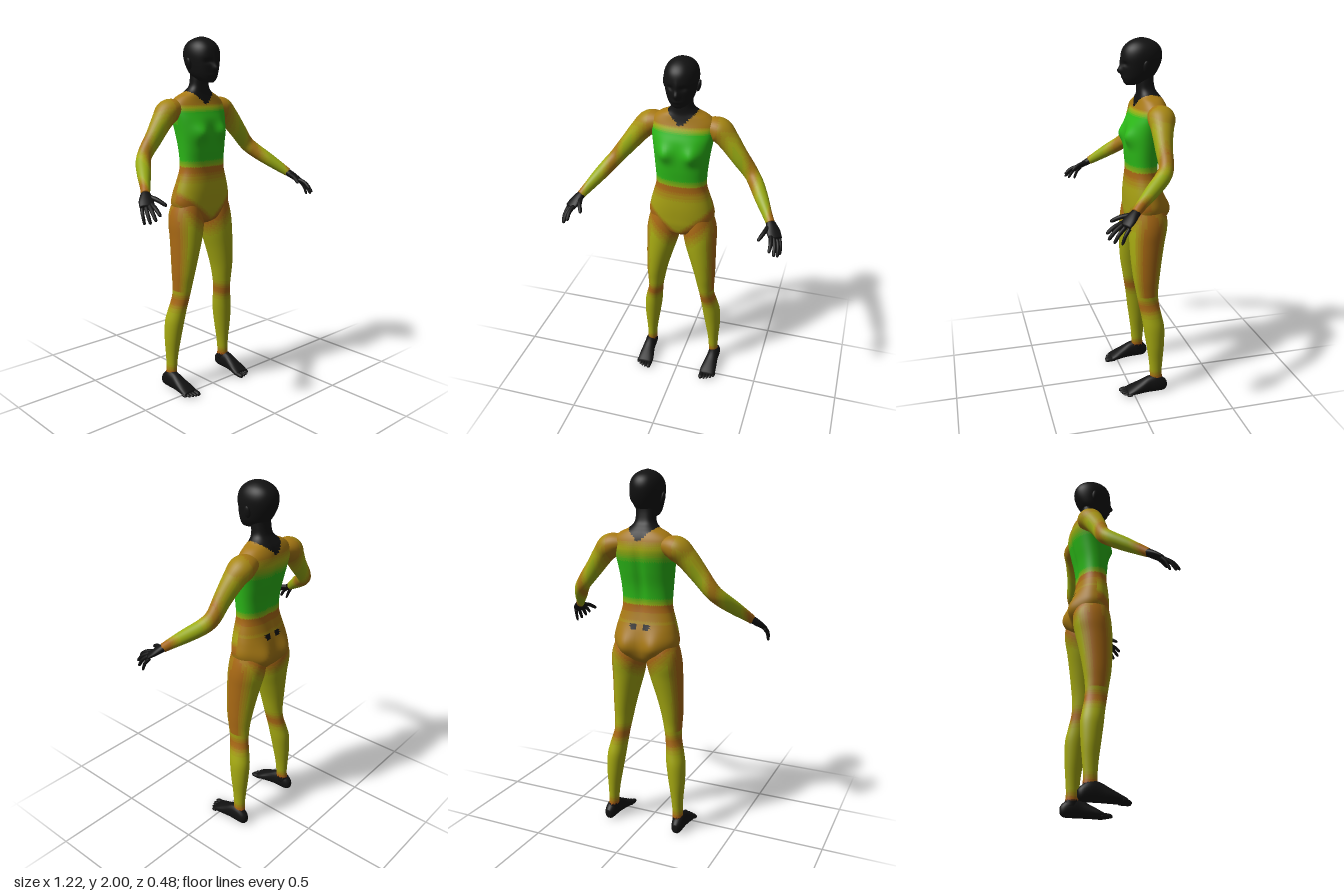
import * as THREE from 'three';

const V = (x, y, z) => new THREE.Vector3(x, y, z);
const clamp = THREE.MathUtils.clamp;
const ramp = (a, b, v) => clamp((v - a) / (b - a), 0, 1);
const bell = (dx, dy, rx, ry) => Math.exp(-((dx / rx) ** 2) - (dy / ry) ** 2);

// Shades: -1 is black, 0..1 runs orange, olive, green in steps
const STEPS = 12, BLACK = -1, palette = {};
const ORANGE = new THREE.Color(0xa95414), OLIVE = new THREE.Color(0xa6aa12), GREEN = new THREE.Color(0x2cba18);
function shade(k) {
  if (!palette[k]) {
    const t = k / STEPS;
    const c = k < 0 ? new THREE.Color(0x121212)
      : t < 0.5 ? ORANGE.clone().lerp(OLIVE, t * 2) : OLIVE.clone().lerp(GREEN, t * 2 - 1);
    palette[k] = new THREE.MeshStandardMaterial({ color: c });
  }
  return palette[k];
}

// Smooth in-between rows (Catmull-Rom on every column)
function refine(rows, n) {
  const out = [], last = rows.length - 1;
  for (let i = 0; i < last; i++) {
    const [p, a, b, q] = [rows[Math.max(i - 1, 0)], rows[i], rows[i + 1], rows[Math.min(i + 2, last)]];
    for (let s = 0; s < n; s++) {
      const t = s / n;
      out.push(a.map((_, k) => a[k] + 0.5 * t * (b[k] - p[k] + t * (2 * p[k] - 5 * a[k] + 4 * b[k] - q[k]
        + t * (3 * (a[k] - b[k]) + q[k] - p[k])))));
    }
  }
  out.push(rows[last]);
  return out;
}

// Closed skin over rows [x, y, z, halfA, halfB]; axis is 'y', 'z' or 'path'
function loft(name, rows, { axis = 'path', seg = 20, sub = 4, power = 2, side = 1, paint = () => BLACK, bump } = {}) {
  const R = refine(rows, sub), pts = [];
  const centre = R.map(r => V(r[0], r[1], r[2]));
  const add = p => { if (bump) bump(p); pts.push(p); };
  R.forEach((r, i) => {
    let u = V(1, 0, 0), v = axis === 'y' ? V(0, 0, -1) : V(0, 1, 0);
    if (axis === 'path') {
      const d = centre[Math.min(i + 1, R.length - 1)].clone().sub(centre[Math.max(i - 1, 0)]).normalize();
      u = V(d.z, 0, -d.x).normalize();
      v = d.clone().cross(u);
    }
    for (let j = 0; j < seg; j++) {
      const a = j / seg * Math.PI * 2, c = Math.cos(a), s = Math.sin(a);
      add(centre[i].clone()
        .addScaledVector(u, r[3] * Math.sign(c) * Math.abs(c) ** (2 / power))
        .addScaledVector(v, r[4] * Math.sign(s) * Math.abs(s) ** (2 / power)));
    }
  });
  const first = pts.length, end = (R.length - 1) * seg;
  pts.push(centre[0].clone(), centre[R.length - 1].clone());
  const tris = [];
  for (let j = 0; j < seg; j++) {
    const k = (j + 1) % seg;
    for (let i = 0; i < R.length - 1; i++) {
      const a = i * seg + j, b = i * seg + k;
      tris.push([a, b, a + seg], [b, b + seg, a + seg]);
    }
    tris.push([first, k, j], [first + 1, end + j, end + k]);
  }
  // Sort faces by shade, then share one set of smooth normals between them
  const buckets = {};
  for (const [a, b, c] of tris) {
    const m = V(0, 0, 0).add(pts[a]).add(pts[b]).add(pts[c]).divideScalar(3);
    const n = pts[b].clone().sub(pts[a]).cross(pts[c].clone().sub(pts[a])).normalize();
    const t = paint(m, n), key = t < 0 ? -1 : Math.round(clamp(t, 0, 1) * STEPS);
    (buckets[key] ??= []).push(...(side > 0 ? [a, b, c] : [a, c, b]));
  }
  const geo = new THREE.BufferGeometry().setFromPoints(pts.map(p => V(p.x * side, p.y, p.z)));
  geo.setIndex(Object.values(buckets).flat());
  geo.computeVertexNormals();
  const group = new THREE.Group();
  group.name = name;
  for (const key in buckets) {
    const g = new THREE.BufferGeometry();
    g.setAttribute('position', geo.attributes.position);
    g.setAttribute('normal', geo.attributes.normal);
    g.setIndex(buckets[key]);
    const mesh = new THREE.Mesh(g, shade(+key));
    mesh.name = name + 'Skin';
    group.add(mesh);
  }
  return group;
}

// Upright rows given as [y, centreX, halfWidth, front, back]
const upright = rows => rows.map(([y, x, w, f, b]) => [x, y, (f + b) / 2, w, (f - b) / 2]);

const TORSO = upright([
  [0.975, 0, 0.03, -0.05, -0.15], [1.0, 0, 0.10, -0.015, -0.19], [1.05, 0, 0.165, -0.002, -0.21],
  [1.1, 0, 0.187, 0, -0.213], [1.16, 0, 0.178, 0, -0.205], [1.22, 0, 0.161, -0.004, -0.19],
  [1.28, 0, 0.144, -0.01, -0.178], [1.33, 0, 0.142, -0.01, -0.177], [1.4, 0, 0.147, -0.004, -0.186],
  [1.48, 0, 0.156, -0.003, -0.205], [1.55, 0, 0.167, -0.012, -0.22], [1.6, 0, 0.175, -0.032, -0.226],
  [1.645, 0, 0.172, -0.052, -0.218], [1.68, 0, 0.135, -0.063, -0.203], [1.705, 0, 0.085, -0.068, -0.186],
  [1.735, 0, 0.058, -0.068, -0.166], [1.78, 0, 0.053, -0.066, -0.157], [1.82, 0, 0.053, -0.07, -0.155]]);
const HEAD = upright([
  [1.757, 0, 0.022, -0.008, -0.06], [1.77, 0, 0.045, 0.003, -0.1], [1.8, 0, 0.068, 0.01, -0.155],
  [1.85, 0, 0.083, 0.016, -0.188], [1.9, 0, 0.09, 0.019, -0.202], [1.94, 0, 0.084, 0.01, -0.197],
  [1.97, 0, 0.066, -0.014, -0.175], [1.99, 0, 0.038, -0.048, -0.138], [2.0, 0, 0.006, -0.085, -0.1]]);
const LEG = upright([
  [0.06, 0.206, 0.03, -0.1, -0.178], [0.12, 0.203, 0.028, -0.1, -0.17], [0.2, 0.2, 0.033, -0.094, -0.175],
  [0.3, 0.195, 0.045, -0.08, -0.183], [0.4, 0.186, 0.052, -0.065, -0.185], [0.47, 0.175, 0.049, -0.055, -0.173],
  [0.55, 0.16, 0.043, -0.04, -0.158], [0.62, 0.153, 0.05, -0.028, -0.156], [0.7, 0.146, 0.06, -0.014, -0.165],
  [0.8, 0.132, 0.074, -0.004, -0.18], [0.9, 0.116, 0.089, 0, -0.198], [0.98, 0.107, 0.097, -0.002, -0.214],
  [1.05, 0.102, 0.09, -0.01, -0.212], [1.13, 0.095, 0.068, -0.025, -0.18]]);
const ARM = [
  [0.12, 1.62, -0.145, 0.055, 0.045], [0.19, 1.605, -0.147, 0.072, 0.065], [0.245, 1.555, -0.137, 0.058, 0.058],
  [0.31, 1.475, -0.125, 0.045, 0.05], [0.375, 1.395, -0.118, 0.039, 0.043], [0.415, 1.35, -0.085, 0.04, 0.041],
  [0.46, 1.3, -0.02, 0.036, 0.037], [0.5, 1.255, 0.04, 0.027, 0.03], [0.53, 1.222, 0.083, 0.023, 0.024]];
const PALM = [
  [0.522, 1.23, 0.07, 0.02, 0.02], [0.538, 1.213, 0.095, 0.03, 0.02],
  [0.555, 1.193, 0.122, 0.038, 0.017], [0.572, 1.172, 0.148, 0.036, 0.012]];
const FOOT = [
  [0.212, 0.04, -0.198, 0.014, 0.02], [0.212, 0.042, -0.18, 0.028, 0.038], [0.211, 0.053, -0.14, 0.034, 0.052],
  [0.21, 0.05, -0.09, 0.035, 0.049], [0.208, 0.037, -0.04, 0.042, 0.036], [0.205, 0.025, 0.005, 0.048, 0.024],
  [0.204, 0.016, 0.04, 0.046, 0.013]];

// Breasts, buttocks and spine groove
function shapeTorso(p) {
  const x = Math.abs(p.x);
  if (p.z > -0.08) p.z += 0.027 * bell(x - 0.075, p.y - 1.49, 0.042, 0.045);
  else {
    p.z -= 0.034 * bell(x - 0.085, p.y - 1.075, 0.06, 0.075);
    p.z += 0.012 * bell(x, p.y - 1.45, 0.025, 0.2);
  }
}
// Nose, eye sockets and mouth
function shapeHead(p) {
  if (p.z < -0.05) return;
  p.z += 0.024 * bell(p.x, p.y - 1.832, 0.014, 0.02) + 0.007 * bell(p.x, p.y - 1.797, 0.026, 0.009)
    + 0.008 * bell(p.x, p.y - 1.87, 0.01, 0.03) - 0.012 * bell(Math.abs(p.x) - 0.034, p.y - 1.868, 0.018, 0.012);
}
function paintTorso(p) {
  const x = Math.abs(p.x), y = p.y, back = p.z < -0.1;
  if (x < (y - 1.635) * 1.1) return BLACK;
  if (back && Math.abs(y - 1.185) < 0.012 && Math.abs(x - 0.04) < 0.017) return BLACK;
  if (y > 1.3) return Math.min(ramp(1.24, 1.34, y), 1 - 0.8 * ramp(back ? 1.53 : 1.6, 1.64, y));
  if (y > 1.2) return 0.1 + 0.35 * ramp(1.27, 1.2, y) * (back ? 0.4 : 1);
  if (back) return 0.15;
  const groin = Math.abs((y - 1.0) - (x - 0.04) * 0.85);
  return 0.08 + 0.37 * ramp(0.02, 0.06, groin);
}
function paintLeg(p, n) {
  const y = p.y;
  if (y < 0.09) return BLACK;
  if (y < 0.6) return 0.5 * ramp(0.09, 0.15, y) * (1 - 0.9 * bell(0, y - 0.535, 1, 0.04));
  const stripe = ramp(0.55, 0.95, n.x) * 0.4;
  const top = 0.38 * ramp(0.93, 1.02, y - (p.x - 0.1) * 0.8);
  return 0.5 - Math.max(stripe, top);
}
function paintArm(p, n) {
  const elbow = bell(p.x - 0.39, 0, 0.035, 1), wrist = ramp(0.5, 0.53, p.x);
  const stripe = p.x < 0.38 ? 0.3 * ramp(0.3, 0.9, n.x) : 0;
  return (0.2 + 0.38 * ramp(0.19, 0.29, p.x) - stripe) * (1 - 0.75 * elbow) * (1 - wrist * 0.9);
}

export function createModel() {
  const model = new THREE.Group();
  model.name = 'figure';
  model.add(loft('torso', TORSO, { axis: 'y', seg: 72, sub: 6, power: 2.25, paint: paintTorso, bump: shapeTorso }));
  model.add(loft('head', HEAD, { axis: 'y', seg: 64, sub: 8, power: 2.1, bump: shapeHead }));

  for (const side of [1, -1]) {
    const s = side > 0 ? 'left' : 'right';
    const ear = new THREE.Mesh(new THREE.SphereGeometry(1, 16, 12), shade(BLACK));
    ear.name = s + 'Ear';
    ear.scale.set(0.011, 0.032, 0.018);
    ear.position.set(side * 0.089, 1.857, -0.095);
    ear.rotation.z = -side * 0.2;
    model.add(ear);

    model.add(loft(s + 'Leg', LEG, { axis: 'y', seg: 40, sub: 6, side, paint: paintLeg }));
    model.add(loft(s + 'Arm', ARM, { seg: 32, sub: 8, side, paint: paintArm }));
    model.add(loft(s + 'Foot', FOOT, { axis: 'z', seg: 24, side, power: 2.2 }));
    model.add(loft(s + 'Palm', PALM, { seg: 20, side }));

    // Toes, from big to small
    for (let i = 0; i < 5; i++) {
      const x = 0.172 + i * 0.018 + (i ? 0.003 : 0), r = i ? 0.0095 : 0.014, tip = 0.077 - i * i * 0.002;
      model.add(loft(s + 'Toe', [
        [x, 0.016, 0.015, r, r], [x, 0.013, tip - 0.014, r, r * 0.9], [x, 0.011, tip, r * 0.4, r * 0.4]],
      { axis: 'z', seg: 10, side }));
    }
    // Thumb and fingers: root and tip
    const fingers = [
      [V(0.525, 1.212, 0.1), V(0.489, 1.175, 0.2), 0.0115],
      [V(0.547, 1.184, 0.155), V(0.555, 1.137, 0.236), 0.0105],
      [V(0.563, 1.178, 0.156), V(0.58, 1.115, 0.232), 0.0105],
      [V(0.579, 1.17, 0.148), V(0.596, 1.1, 0.208), 0.01],
      [V(0.59, 1.165, 0.13), V(0.604, 1.092, 0.17), 0.009]];
    fingers.forEach(([a, b, r], i) => {
      const mid = a.clone().lerp(b, 0.5).add(V(0.004, 0.008, 0.002));
      const near = mid.clone().lerp(b, 0.8);
      model.add(loft(s + (i ? 'Finger' : 'Thumb'), [
        [...a, r * 1.1, r * 1.1], [...mid, r, r], [...near, r * 0.8, r * 0.8], [...b, r * 0.35, r * 0.35]],
      { seg: 10, side }));
    });
  }
  return model;
}
